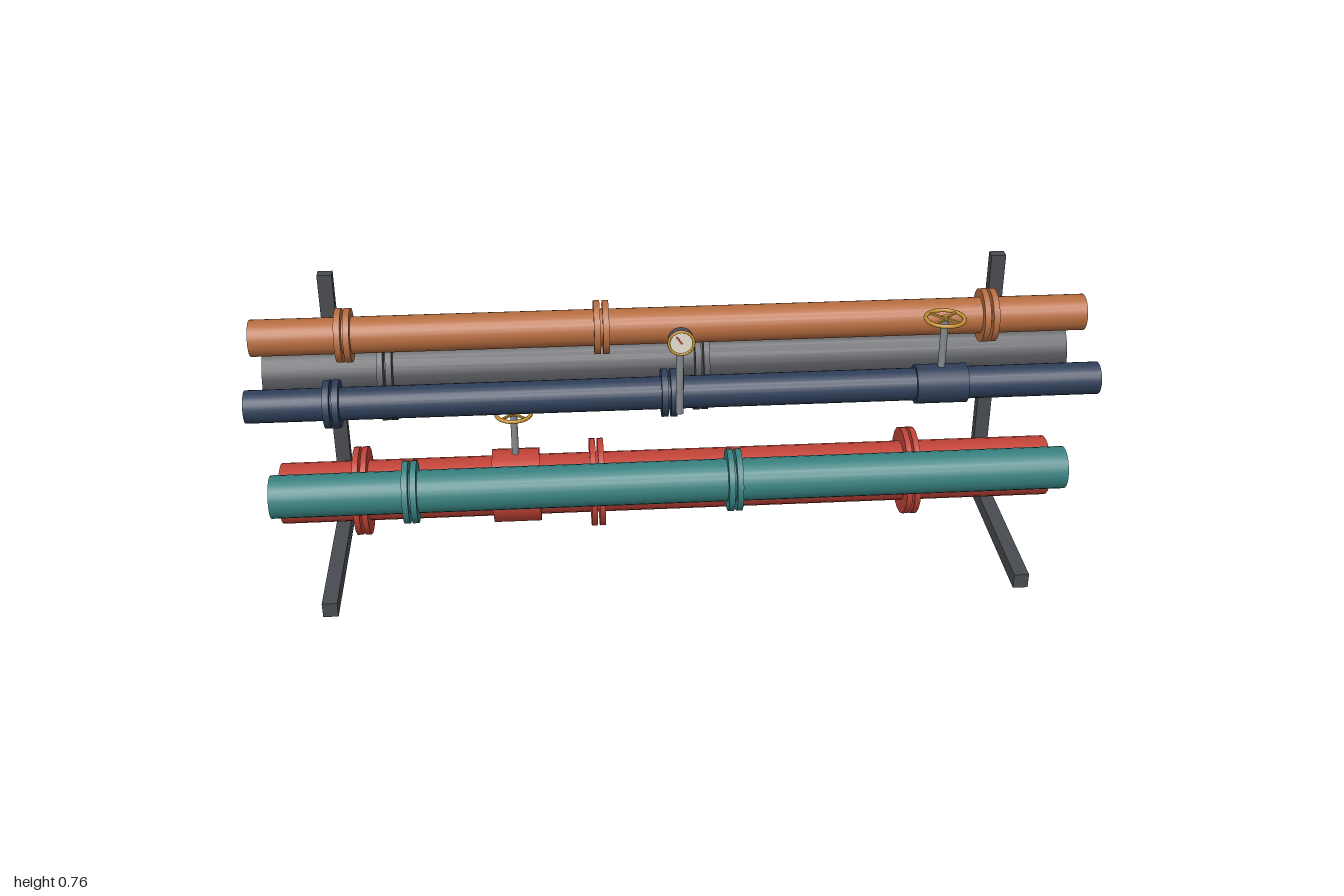
import * as THREE from 'three';

const mat = (name, color) => {
  const m = new THREE.MeshStandardMaterial({ color });
  m.name = name;
  return m;
};

export function createModel() {
  const root = new THREE.Group();
  root.name = 'pipeRack';

  const copper = mat('copper', 0xb66c3f);
  const charcoal = mat('charcoal', 0x4a4c51);
  const red = mat('red', 0xc24438);
  const teal = mat('teal', 0x37807f);
  const navy = mat('navy', 0x2e3e58);
  const frame = mat('frameSteel', 0x484b50);
  const steel = mat('steel', 0x85898d);
  const brass = mat('brass', 0xc48f32);
  const cream = mat('dialCream', 0xe4dfd0);

  const add = (parent, name, geo, material, x, y, z) => {
    const mesh = new THREE.Mesh(geo, material);
    mesh.name = name;
    mesh.position.set(x, y, z);
    parent.add(mesh);
    return mesh;
  };
  const tubeX = (r, len, sides = 20) =>
    new THREE.CylinderGeometry(r, r, len, sides).rotateZ(Math.PI / 2);
  const box = (w, h, d) => new THREE.BoxGeometry(w, h, d);

  // Pipes along x, each with pairs of flange discs
  const pipes = [
    { name: 'copperPipe', m: copper, y: 0.65, z: 0.015, r: 0.044, f: 0.065, at: [-0.78, -0.172, 0.762] },
    { name: 'charcoalPipe', m: charcoal, y: 0.476, z: -0.145, r: 0.088, f: 0.129, at: [-0.7, 0.077] },
    { name: 'redPipe', m: red, y: 0.126, z: -0.145, r: 0.0785, f: 0.115, at: [-0.793, -0.187, 0.632] },
    { name: 'tealPipe', m: teal, y: 0.212, z: 0.015, r: 0.054, f: 0.079, at: [-0.655, 0.154] },
    { name: 'navyPipe', m: navy, y: 0.552, z: 0.175, r: 0.0385, f: 0.057, at: [-0.8, -0.022] },
  ];
  for (const p of pipes) {
    const group = new THREE.Group();
    group.name = p.name;
    root.add(group);
    add(group, 'pipe', tubeX(p.r, 2, 24), p.m, 0, p.y, p.z);
    for (const x of p.at)
      for (const s of [-1, 1])
        add(group, 'flange', tubeX(p.f, 0.015), p.m, x + s * 0.0105, p.y, p.z);
  }

  // Valves: thick body, stem and spoked handwheel
  const addValve = (p, x, wheelY) => {
    const valve = new THREE.Group();
    valve.name = 'valve';
    root.add(valve);
    add(valve, 'valveBody', tubeX(p.r * 1.22, 0.122), p.m, x, p.y, p.z);
    const top = wheelY - 0.004;
    add(valve, 'valveStem', new THREE.CylinderGeometry(0.009, 0.009, top - p.y, 12),
      steel, x, (top + p.y) / 2, p.z);
    const wheel = new THREE.Group();
    wheel.name = 'handwheel';
    wheel.position.set(x, wheelY, p.z);
    valve.add(wheel);
    add(wheel, 'rim', new THREE.TorusGeometry(0.045, 0.005, 8, 24).rotateX(Math.PI / 2), brass, 0, 0, 0);
    add(wheel, 'hub', new THREE.CylinderGeometry(0.007, 0.007, 0.014, 12), brass, 0, 0, 0);
    for (const a of [Math.PI / 4, -Math.PI / 4])
      add(wheel, 'spoke', box(0.088, 0.005, 0.006).rotateY(a), brass, 0, 0, 0);
  };
  addValve(pipes[2], -0.396, 0.337);
  addValve(pipes[4], 0.621, 0.721);

  // Pressure gauge: riser, case, bezel, dial and needle
  const gauge = new THREE.Group();
  gauge.name = 'pressureGauge';
  root.add(gauge);
  const discZ = (r, t) => new THREE.CylinderGeometry(r, r, t, 24).rotateX(Math.PI / 2);
  add(gauge, 'riser', new THREE.CylinderGeometry(0.009, 0.009, 0.198, 12), steel, 0, 0.626, 0.231);
  add(gauge, 'case', discZ(0.029, 0.022), charcoal, 0, 0.727, 0.26);
  add(gauge, 'bezel', new THREE.TorusGeometry(0.0285, 0.0033, 8, 24), brass, 0, 0.727, 0.272);
  add(gauge, 'dial', discZ(0.026, 0.002), cream, 0, 0.727, 0.2715);
  add(gauge, 'needle', box(0.004, 0.022, 0.002).translate(0, 0.008, 0).rotateZ(0.6),
    red, 0, 0.727, 0.273);

  // Support stands: upright post with a foot reaching forward
  for (const x of [-0.848, 0.848]) {
    const stand = new THREE.Group();
    stand.name = 'stand';
    root.add(stand);
    add(stand, 'post', box(0.037, 0.7, 0.028), frame, x, 0.35, -0.24);
    add(stand, 'foot', box(0.037, 0.038, 0.48), frame, x, 0.031, 0.015);
  }
  return root;
}
